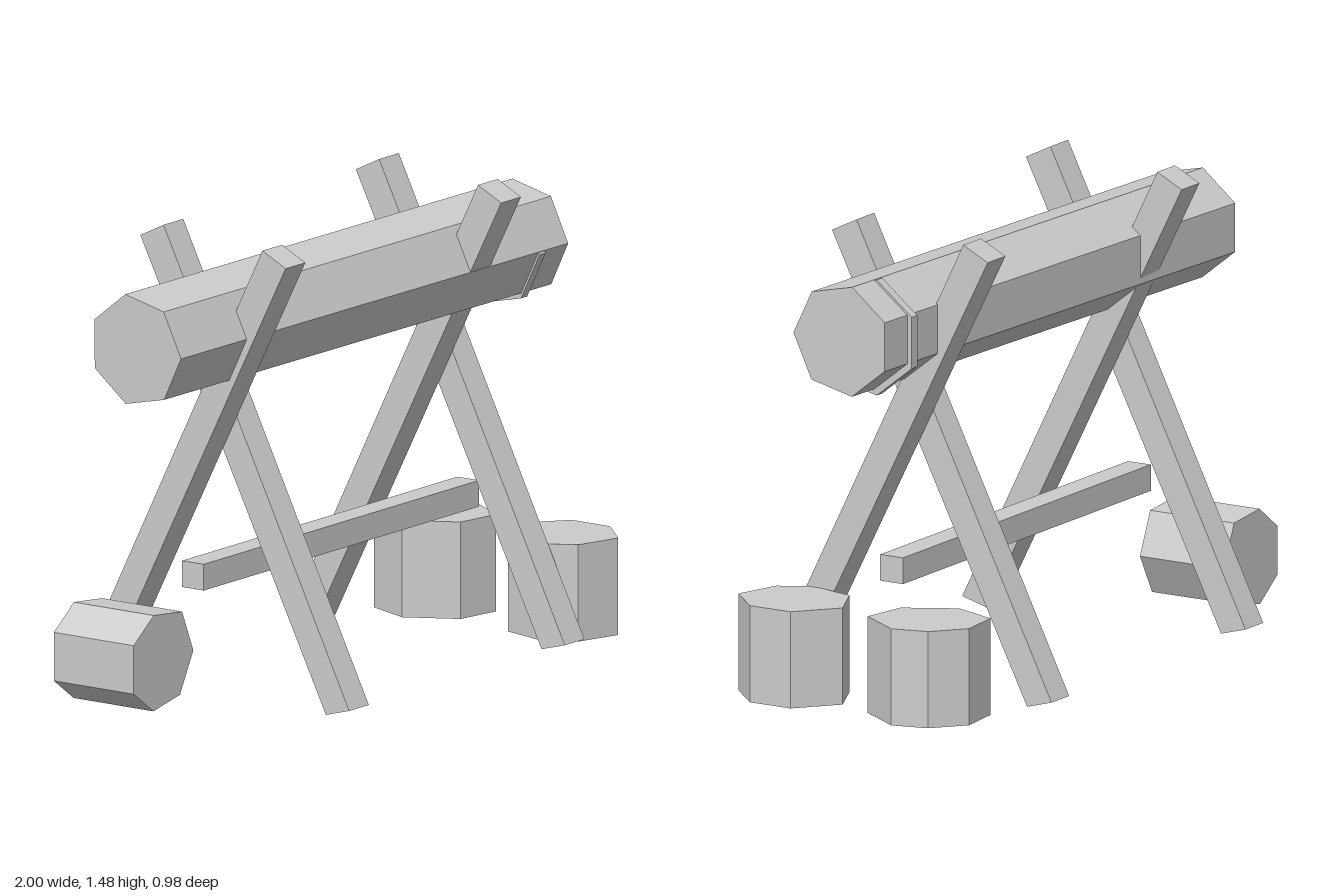
import * as THREE from 'three';

const material = new THREE.MeshStandardMaterial({ color: 0xcccccc, flatShading: true });

function addMesh(parent, name, geometry) {
  const mesh = new THREE.Mesh(geometry, material);
  mesh.name = name;
  parent.add(mesh);
  return mesh;
}

// Straight prism from an outline, running along +z
function prism(points, depth) {
  const shape = new THREE.Shape(points.map(([x, y]) => new THREE.Vector2(x, y)));
  return new THREE.ExtrudeGeometry(shape, { depth, bevelEnabled: false });
}

// Seven-sided cylinder along x with a corner facing +z
function heptagonBar(radius, length) {
  return new THREE.CylinderGeometry(radius, radius, length, 7).rotateZ(-Math.PI / 2);
}

export function createModel() {
  const model = new THREE.Group();
  model.name = 'logOnSawhorse';

  // Crossed legs: outline in (z, y), mirrored in z for the partner
  const legOutline = [[0.23, 1.48], [-0.49, 0.025], [-0.4, 0], [0.32, 1.435]];
  const legWidth = 0.103;
  for (const [side, x] of [['right', -0.664], ['left', 0.463]]) {
    const pair = new THREE.Group();
    pair.name = side + 'LegPair';
    [1, -1].forEach((sign, i) => {
      const outline = legOutline.map(([z, y]) => [z * sign, y]);
      const geometry = prism(outline, legWidth).rotateY(-Math.PI / 2);
      const leg = addMesh(pair, i ? 'forwardFootLeg' : 'backwardFootLeg', geometry);
      leg.position.x = x + legWidth * (i + 1);
    });
    model.add(pair);
  }

  // Crossbar joining the leg pairs
  addMesh(model, 'crossbar', new THREE.BoxGeometry(1.44, 0.084, 0.084)).position.set(0, 0.42, 0.002);

  // Slightly skewed log
  const start = new THREE.Vector3(-0.99, 1.186, -0.02);
  const end = new THREE.Vector3(0.96, 1.2, 0.035);
  const axis = end.clone().sub(start);
  const log = addMesh(model, 'log', heptagonBar(0.18, axis.length()));
  log.position.copy(start).add(end).multiplyScalar(0.5);
  log.quaternion.setFromUnitVectors(new THREE.Vector3(1, 0, 0), axis.normalize());

  // Thin band around the log near one end
  addMesh(model, 'logBand', heptagonBar(0.19, 0.032)).position.set(0.822, 1.19, 0.024);

  // Standing stumps: outlines in (x, z)
  const stumps = {
    frontStump: [[0.98, 0.21], [0.98, 0.36], [0.866, 0.475], [0.717, 0.43], [0.66, 0.33], [0.7, 0.17], [0.85, 0.1]],
    backStump: [[0.717, -0.361], [0.866, -0.377], [0.968, -0.29], [0.998, -0.173], [0.9, -0.024], [0.75, -0.05], [0.66, -0.21]],
  };
  for (const [name, outline] of Object.entries(stumps)) {
    addMesh(model, name, prism(outline.map(([x, z]) => [x, -z]), 0.31).rotateX(-Math.PI / 2));
  }

  // Fallen stump lying along z
  const fallen = [[-1, 0.245], [-0.895, 0.322], [-0.747, 0.307], [-0.688, 0.172], [-0.758, 0.043], [-0.897, 0.016], [-1, 0.09]];
  addMesh(model, 'fallenStump', prism(fallen, 0.31)).position.z = -0.33;

  return model;
}
